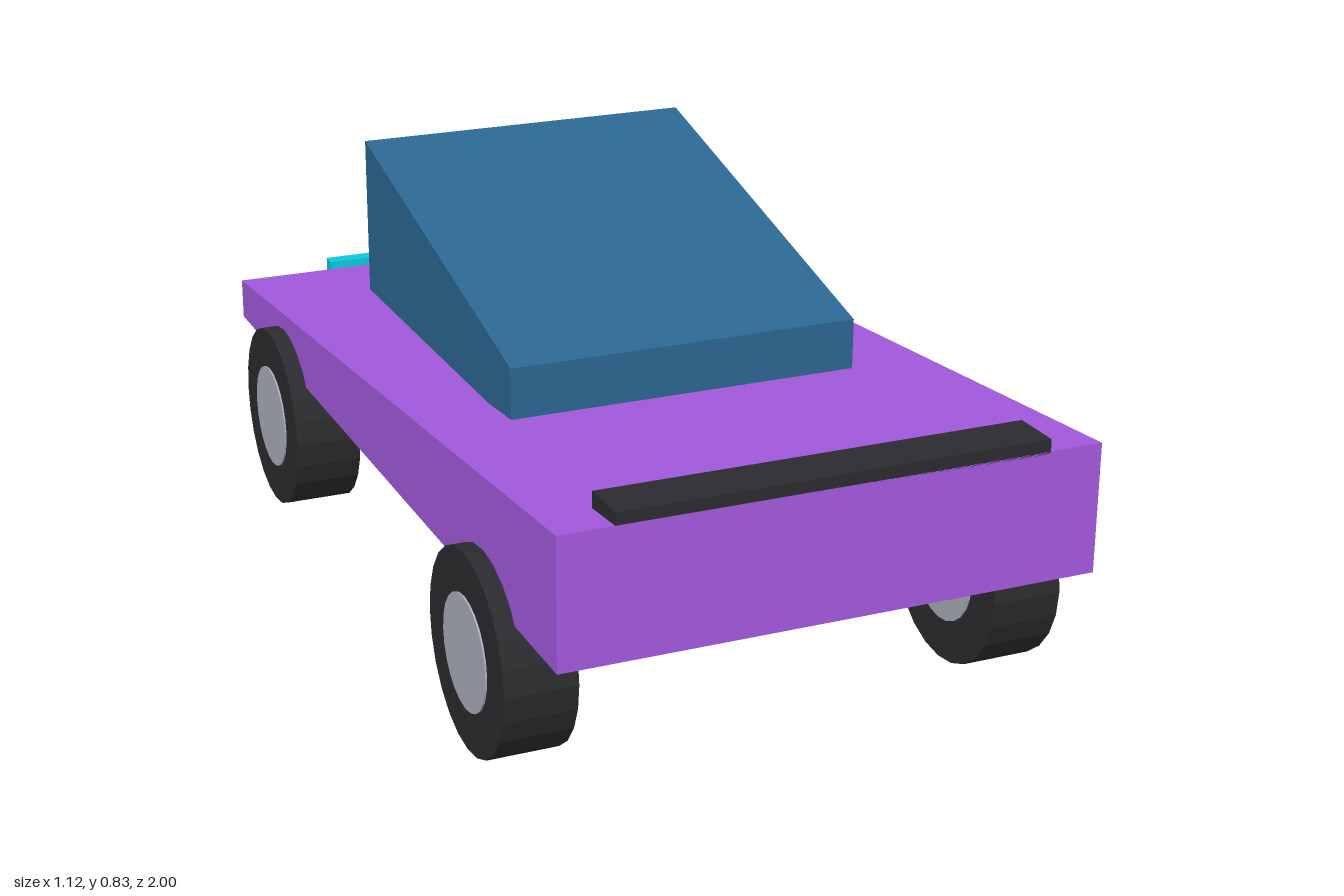
import * as THREE from 'three';

const paint = (color) => new THREE.MeshStandardMaterial({ color, flatShading: true });

export function createModel() {
  const car = new THREE.Group();
  car.name = 'wedgeCar';
  const purple = paint(0xa259dd), blue = paint(0x2b6690), black = paint(0x2b2a2e);
  const grey = paint(0xb0b0b0), hubGrey = paint(0xa9adb8), cyan = paint(0x0bc8dc);

  function add(name, geometry, material, parent = car) {
    const mesh = new THREE.Mesh(geometry, material);
    mesh.name = name;
    parent.add(mesh);
    return mesh;
  }

  // Side profile of [z, y] points, extruded across the width
  function wedge(name, points, width, material) {
    const shape = new THREE.Shape(points.map(([z, y]) => new THREE.Vector2(z, y)));
    const geo = new THREE.ExtrudeGeometry(shape, { depth: width, bevelEnabled: false });
    geo.translate(0, 0, -width / 2).rotateY(-Math.PI / 2);
    return add(name, geo, material);
  }

  function box(name, size, position, material) {
    return add(name, new THREE.BoxGeometry(...size), material).position.set(...position);
  }

  // Body slopes down to the rear, cabin rises towards it
  wedge('body', [[-0.95, 0.31], [1, 0.31], [1, 0.562], [-0.95, 0.397]], 1.04, purple);
  wedge('cabin', [[-0.49, 0.498], [0.365, 0.498], [0.365, 0.61], [-0.49, 0.827]], 0.715, blue);

  // Front strip and rear deck bar
  box('frontStrip', [0.83, 0.045, 0.1], [0, 0.5625, 0.95], black);
  box('deckBar', [0.14, 0.032, 1.11], [0, 0.495, -0.355], grey);

  for (const side of [-1, 1]) {
    const label = side > 0 ? 'Left' : 'Right';
    box(`rearLight${label}`, [0.145, 0.04, 0.035], [side * 0.23, 0.389, -0.982], cyan);

    // Wheels: tyre with a slightly wider hub through it
    for (const [end, z] of [['front', 0.647], ['rear', -0.605]]) {
      const wheel = new THREE.Group();
      wheel.name = `${end}Wheel${label}`;
      wheel.position.set(side * 0.486, 0.195, z);
      add('tyre', new THREE.CylinderGeometry(0.195, 0.195, 0.14, 24).rotateZ(Math.PI / 2), black, wheel);
      add('hub', new THREE.CylinderGeometry(0.111, 0.111, 0.147, 24).rotateZ(Math.PI / 2), hubGrey, wheel);
      car.add(wheel);
    }
  }
  return car;
}
